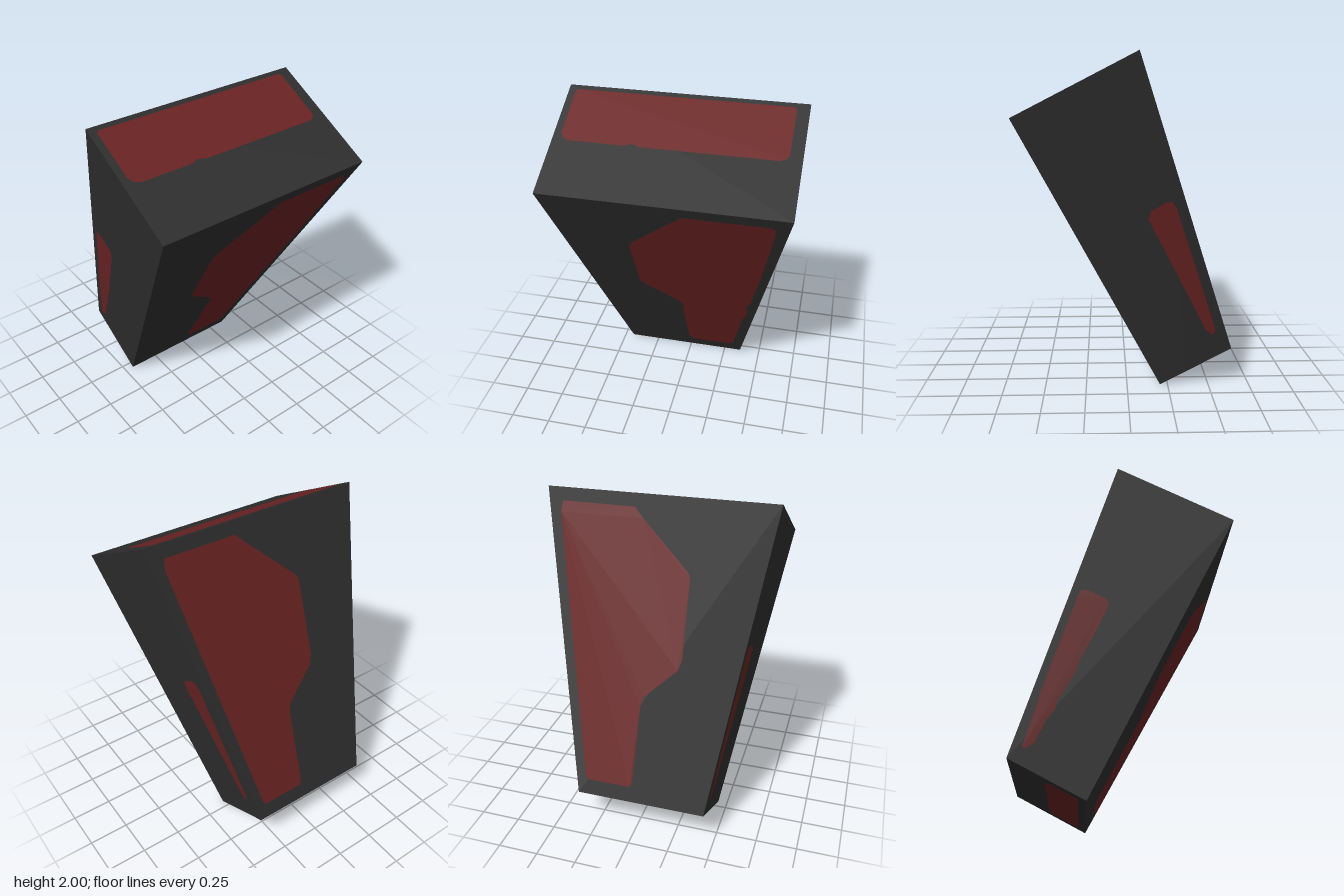
import * as THREE from 'three';

// Corner of the slanted, tapered block; each argument is -1 or 1
function corner(sx, sy, sz) {
  const [x, y] = sy > 0
    ? (sx < 0 ? [-0.055, 2] : [0.637, 1.645])
    : (sx < 0 ? [-0.64, 0.228] : [-0.204, 0]);
  const z = sy > 0 ? sz * 0.703 : (sz > 0 ? 0.442 : -0.363);
  return new THREE.Vector3(x, y, z);
}

// Plane through one side of the block, facing outward
function sidePlane(axis, sign) {
  const at = (a, b) => {
    const s = [a, b];
    s.splice(axis, 0, sign);
    return corner(...s);
  };
  const plane = new THREE.Plane().setFromCoplanarPoints(at(-1, -1), at(1, -1), at(1, 1));
  if (plane.distanceToPoint(new THREE.Vector3(0, 1, 0)) > 0) plane.negate();
  return plane;
}

// Thin painted patch: an outline on two axes, dropped onto a side plane
function patchGeometry(plane, axes, outline) {
  const [u, v] = axes;
  const w = 'xyz'.replace(u, '').replace(v, '');
  const n = plane.normal;
  const contour = outline.map(([a, b]) => new THREE.Vector2(a, b));
  const points = contour.map((c) => {
    const p = new THREE.Vector3();
    p[u] = c.x;
    p[v] = c.y;
    p[w] = -(plane.constant + n[u] * c.x + n[v] * c.y) / n[w];
    return p.addScaledVector(n, 0.003);
  });
  const index = [];
  for (const [a, b, c] of THREE.ShapeUtils.triangulateShape(contour, [])) {
    const ab = points[b].clone().sub(points[a]);
    const ac = points[c].clone().sub(points[a]);
    if (ab.cross(ac).dot(n) > 0) index.push(a, b, c);
    else index.push(a, c, b);
  }
  const g = new THREE.BufferGeometry().setFromPoints(points);
  g.setIndex(index);
  g.computeVertexNormals();
  return g;
}

export function createModel() {
  const group = new THREE.Group();
  const dark = new THREE.MeshStandardMaterial({ color: 0x2e2e2e });
  dark.name = 'charcoal';
  const red = new THREE.MeshStandardMaterial({ color: 0x6a2323 });
  red.name = 'dark red';

  const add = (name, geometry, material) => {
    const mesh = new THREE.Mesh(geometry, material);
    mesh.name = name;
    group.add(mesh);
  };

  // Body: a box with its corners moved
  const body = new THREE.BoxGeometry(2, 2, 2);
  const pos = body.attributes.position;
  for (let i = 0; i < pos.count; i++) {
    const p = corner(pos.getX(i), pos.getY(i), pos.getZ(i));
    pos.setXYZ(i, p.x, p.y, p.z);
  }
  body.computeVertexNormals();
  add('body', body, dark);

  // Red patches, one per side
  add('frontPatch', patchGeometry(sidePlane(2, 1), 'xy', [
    [-0.26, 1.2], [-0.225, 1.2], [-0.115, 1.145], [-0.1, 1.115], [-0.105, 1.09],
    [-0.18, 0.93], [-0.26, 0.775], [-0.28, 0.71], [-0.375, 0.545], [-0.385, 0.5],
    [-0.43, 0.44], [-0.495, 0.31], [-0.535, 0.28], [-0.56, 0.285], [-0.545, 0.34],
    [-0.485, 0.535], [-0.47, 0.6], [-0.28, 1.16],
  ]), red);
  add('backPatch', patchGeometry(sidePlane(2, -1), 'xy', [
    [-0.25, 1.17], [-0.21, 1.165], [-0.13, 1.115], [-0.115, 1.07],
    [-0.475, 0.365], [-0.51, 0.33], [-0.53, 0.335], [-0.53, 0.375], [-0.275, 1.135],
  ]), red);
  add('topPatch', patchGeometry(sidePlane(1, 1), 'xz', [
    [-0.015, -0.63], [0.27, -0.63], [0.295, -0.615], [0.307, -0.58], [0.307, 0.19],
    [0.295, 0.23], [0.295, 0.25], [0.307, 0.28], [0.307, 0.6], [0.295, 0.64],
    [0.26, 0.66], [-0.01, 0.66], [-0.026, 0.645], [-0.026, -0.615],
  ]), red);
  add('bottomPatch', patchGeometry(sidePlane(1, -1), 'xz', [
    [-0.26, -0.3], [-0.41, -0.3], [-0.43, -0.27],
    [-0.43, 0.36], [-0.41, 0.39], [-0.26, 0.39], [-0.245, 0.37], [-0.245, -0.28],
  ]), red);
  add('leftPatch', patchGeometry(sidePlane(0, 1), 'zy', [
    [-0.11, 1.58], [-0.59, 1.58], [-0.61, 1.56], [-0.61, 1.52], [-0.53, 1.07],
    [-0.48, 0.84], [-0.46, 0.73], [-0.43, 0.68], [-0.43, 0.57], [-0.4, 0.5],
    [-0.35, 0.27], [-0.32, 0.12], [-0.29, 0.09], [-0.03, 0.09], [0, 0.13],
    [0, 0.52], [-0.01, 0.57], [0, 0.63], [0.1, 0.72], [0.21, 0.81],
    [0.24, 0.85], [0.24, 1.24], [0.22, 1.28],
  ]), red);
  add('rightPatch', patchGeometry(sidePlane(0, -1), 'xz', [
    [-0.1, -0.61], [-0.08, -0.6], [-0.08, -0.15], [-0.1, -0.09], [-0.19, 0.21],
    [-0.2, 0.22], [-0.35, 0.22], [-0.37, 0.2], [-0.43, 0.005], [-0.45, -0.01],
    [-0.6, -0.02], [-0.61, -0.035], [-0.61, -0.31], [-0.6, -0.325],
  ]), red);

  return group;
}
